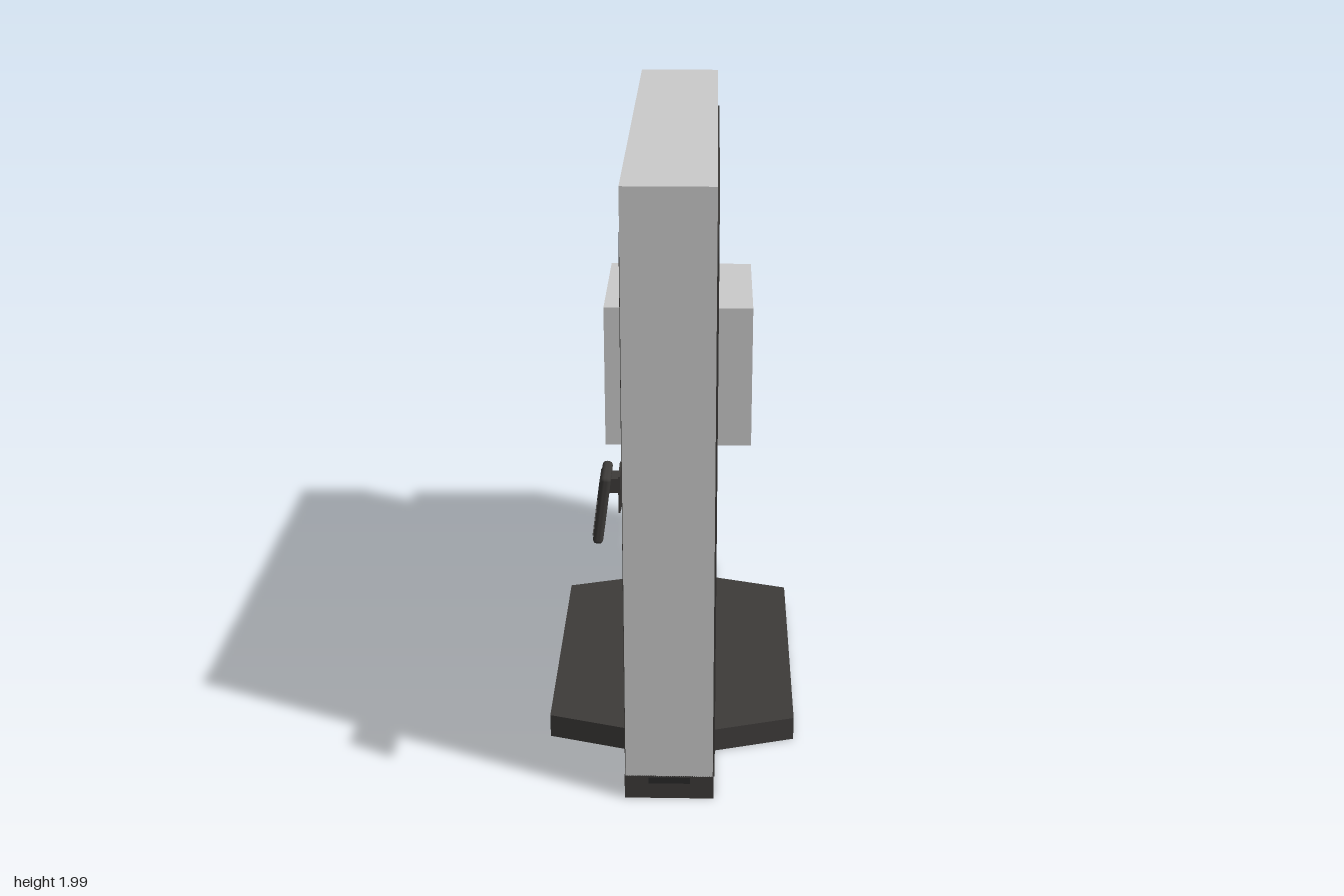
import * as THREE from 'three';
import { RoundedBoxGeometry } from 'three/addons/geometries/RoundedBoxGeometry.js';

const grey = new THREE.MeshStandardMaterial({ color: 0xcccccc });
const dark = new THREE.MeshStandardMaterial({ color: 0x3d3b39 });
const black = new THREE.MeshStandardMaterial({ color: 0x2a2a2a });
const mid = new THREE.MeshStandardMaterial({ color: 0x666666 });

function add(parent, name, geometry, material, x = 0, y = 0, z = 0) {
  const mesh = new THREE.Mesh(geometry, material);
  mesh.name = name;
  mesh.position.set(x, y, z);
  parent.add(mesh);
  return mesh;
}

// Box given by its limits on each axis
function span(parent, name, material, [x0, x1], [y0, y1], [z0, z1]) {
  return add(parent, name, new THREE.BoxGeometry(x1 - x0, y1 - y0, z1 - z0), material,
    (x0 + x1) / 2, (y0 + y1) / 2, (z0 + z1) / 2);
}

// Arch outline drawn as (z, y): rounded outside, nearly square inside
function archShape() {
  const back = -0.645, front = 0.825, top = 1.905, R = 0.16;
  const inBack = -0.455, inFront = 0.635, inTop = 1.715, r = 0.03, foot = 0.03;
  const s = new THREE.Shape();
  s.moveTo(back, foot);
  s.lineTo(inBack, foot);
  s.lineTo(inBack, inTop - r);
  s.absarc(inBack + r, inTop - r, r, Math.PI, Math.PI / 2, true);
  s.lineTo(inFront - r, inTop);
  s.absarc(inFront - r, inTop - r, r, Math.PI / 2, 0, true);
  s.lineTo(inFront, foot);
  s.lineTo(front, foot);
  s.lineTo(front, top - R);
  s.absarc(front - R, top - R, R, 0, Math.PI / 2, false);
  s.lineTo(back + R, top);
  s.absarc(back + R, top - R, R, Math.PI / 2, Math.PI, false);
  s.closePath();
  return s;
}

function createKeypad() {
  const keypad = new THREE.Group();
  keypad.name = 'keypad';
  // Mounting plate and arm on the panel side
  span(keypad, 'mountPlate', dark, [-0.144, -0.138], [1.03, 1.145], [0.87, 0.98]);
  span(keypad, 'mountArm', dark, [-0.18, -0.14], [1.08, 1.125], [0.89, 0.95]);

  // Tilted handset facing -x
  const handset = new THREE.Group();
  handset.name = 'handset';
  handset.position.set(-0.192, 1.041, 0.93);
  handset.rotation.z = -0.13;
  keypad.add(handset);
  add(handset, 'handsetBody', new RoundedBoxGeometry(0.03, 0.215, 0.135, 2, 0.012), dark);
  add(handset, 'screen', new THREE.BoxGeometry(0.004, 0.06, 0.095), black, -0.0155, 0.055, 0);
  for (let row = 0; row < 4; row++) {
    for (let col = -1; col <= 1; col++) {
      add(handset, 'key', new THREE.BoxGeometry(0.004, 0.02, 0.024), mid,
        -0.016, 0.003 - row * 0.028, col * 0.032);
    }
  }
  return keypad;
}

export function createModel() {
  const model = new THREE.Group();
  model.name = 'machine';

  // Upright slab and the block clasping its back edge
  span(model, 'panel', grey, [-0.137, 0.137], [0.08, 1.985], [-0.728, 0.902]);
  span(model, 'rearBlock', grey, [-0.272, 0.272], [0.632, 1.172], [-1, -0.457]);

  // Plinth under the slab
  span(model, 'plinth', dark, [-0.14, 0.14], [0, 0.082], [-0.728, 0.902]);

  // Step with tapered ends, standing out on both sides
  const step = new THREE.Shape([
    [-0.14, -0.628], [0.14, -0.628], [0.405, -0.55], [0.405, 0.378],
    [0.14, 0.457], [-0.14, 0.457], [-0.405, 0.378], [-0.405, -0.55],
  ].map(([x, y]) => new THREE.Vector2(x, y)));
  const stepGeometry = new THREE.ExtrudeGeometry(step, { depth: 0.08, bevelEnabled: false });
  stepGeometry.rotateX(-Math.PI / 2);
  add(model, 'step', stepGeometry, dark);

  // Small plates at both ends of the plinth
  for (const z of [0.902, -0.728]) {
    add(model, 'endPlate', new THREE.BoxGeometry(0.13, 0.022, 0.004), black, 0, 0.066, z);
  }

  // Dark arch on each face of the slab
  const arch = new THREE.ExtrudeGeometry(archShape(), { depth: 0.01, bevelEnabled: false, curveSegments: 16 });
  arch.rotateY(-Math.PI / 2);
  arch.translate(0.005, 0, 0);
  for (const side of [-1, 1]) add(model, 'archFrame', arch, dark, side * 0.138, 0, 0);

  model.add(createKeypad());
  return model;
}
